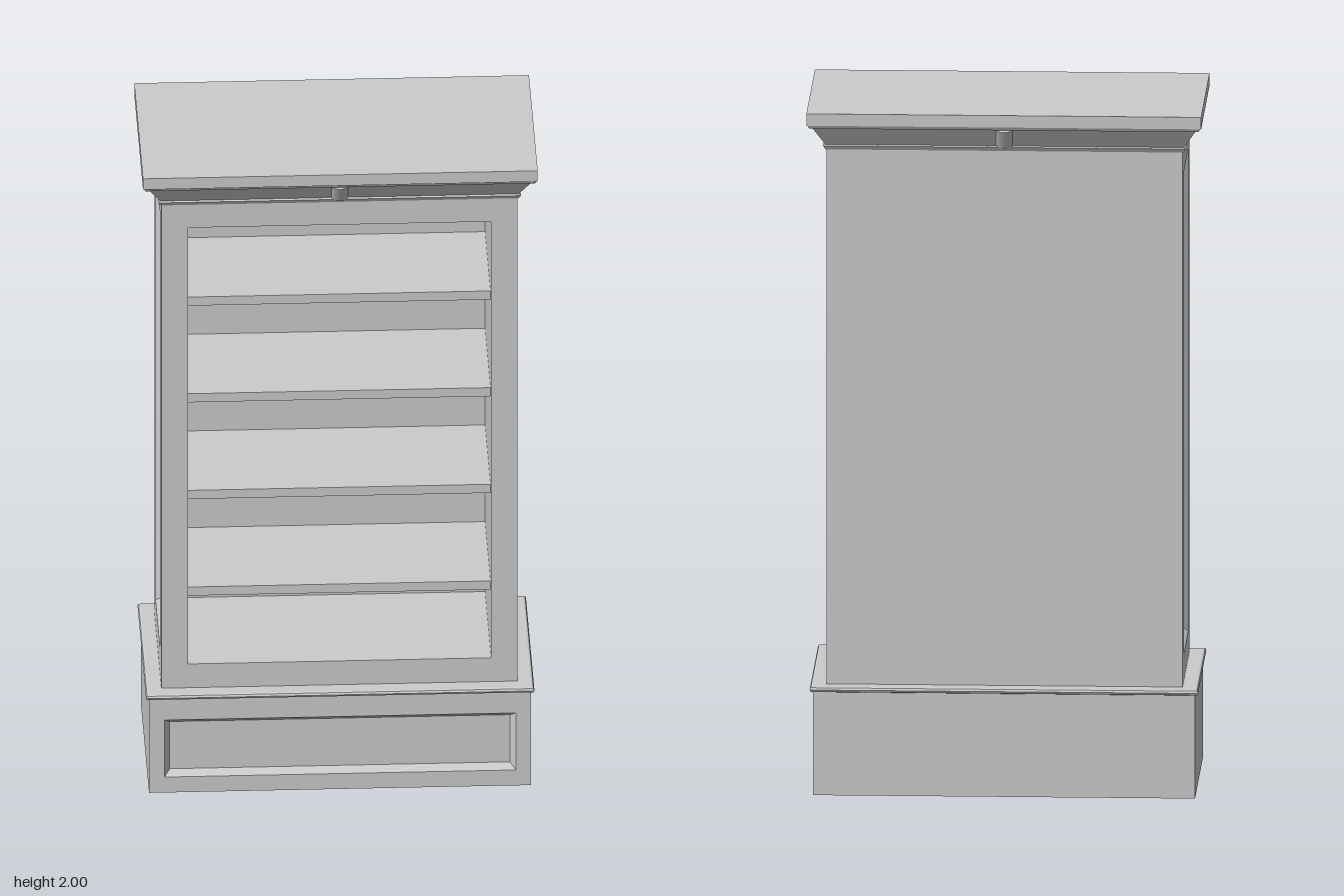
import * as THREE from 'three';

const material = new THREE.MeshStandardMaterial({ color: 0xcccccc, side: THREE.DoubleSide });

function add(parent, name, geometry, x = 0, y = 0, z = 0) {
  const mesh = new THREE.Mesh(geometry, material);
  mesh.name = name;
  mesh.position.set(x, y, z);
  parent.add(mesh);
  return mesh;
}

// Faceted skin through four-cornered rings, optionally closed at the last ring
function loft(rings, cap = false) {
  const pos = [];
  const quad = (a, b, c, d) => pos.push(...a, ...b, ...c, ...a, ...c, ...d);
  for (let k = 0; k + 1 < rings.length; k++) {
    for (let i = 0; i < 4; i++) {
      const j = (i + 1) % 4;
      quad(rings[k][i], rings[k][j], rings[k + 1][j], rings[k + 1][i]);
    }
  }
  if (cap) quad(...rings[rings.length - 1]);
  const g = new THREE.BufferGeometry();
  g.setAttribute('position', new THREE.Float32BufferAttribute(pos, 3));
  g.computeVertexNormals();
  return g;
}

// Mitred moulding from a profile of [half width, half depth, height]
const moulding = (profile) => loft(profile.map(([x, z, y]) =>
  [[-x, y, z], [x, y, z], [x, y, -z], [-x, y, -z]]));

// Upright face looking along +z with a rectangular recess
function recessedFace(name, halfW, y0, y1, holeW, h0, h1, inset, depth) {
  const group = new THREE.Group();
  group.name = name;
  const corners = (w, a, b) => [[-w, a], [w, a], [w, b], [-w, b]];
  const points = (list) => list.map(([x, y]) => new THREE.Vector2(x, y));
  const frame = new THREE.Shape(points(corners(halfW, y0, y1)));
  frame.holes.push(new THREE.Path(points(corners(holeW, h0, h1))));
  add(group, name + 'Frame', new THREE.ShapeGeometry(frame));
  const ring = (inward, z) =>
    corners(holeW - inward, h0 + inward, h1 - inward).map(([x, y]) => [x, y, z]);
  add(group, name + 'Recess', loft([ring(0, 0), ring(inset, -depth)], true));
  return group;
}

export function createModel() {
  const model = new THREE.Group();
  model.name = 'bookcase';

  // Hollow plinth, open below, with a recessed front panel
  const BX = 0.547, BZ = 0.275, BH = 0.302;
  const plinth = new THREE.Group();
  plinth.name = 'plinth';
  model.add(plinth);
  const plinthFront = recessedFace('plinthFront', BX, 0, BH, 0.503, 0.05, 0.235, 0.016, 0.02);
  plinthFront.position.z = BZ;
  plinth.add(plinthFront);
  add(plinth, 'plinthBack', new THREE.PlaneGeometry(2 * BX, BH), 0, BH / 2, -BZ).rotation.y = Math.PI;
  for (const s of [-1, 1]) {
    add(plinth, 'plinthSide', new THREE.PlaneGeometry(2 * BZ, BH), s * BX, BH / 2, 0)
      .rotation.y = s * Math.PI / 2;
  }
  add(plinth, 'plinthLip', moulding([
    [BX, BZ, 0.302], [0.553, 0.281, 0.304], [0.556, 0.284, 0.31],
    [0.553, 0.281, 0.316], [0.548, 0.276, 0.318], [0.51, 0.237, 0.318],
  ]));

  // Cabinet shell: open front, panelled sides, plain back
  const CX = 0.51, CZ = 0.237, C0 = 0.316, C1 = 1.965;
  const cabinet = new THREE.Group();
  cabinet.name = 'cabinet';
  model.add(cabinet);
  const front = recessedFace('cabinetFront', CX, C0, C1, 0.434, 0.395, 1.81, 0, 0.402);
  front.position.z = CZ;
  cabinet.add(front);
  for (const s of [-1, 1]) {
    const side = recessedFace('cabinetSide', CZ, C0, C1, 0.156, 0.395, 1.81, 0.016, 0.02);
    side.position.x = s * CX;
    side.rotation.y = s * Math.PI / 2;
    cabinet.add(side);
  }
  add(cabinet, 'cabinetBack', new THREE.PlaneGeometry(2 * CX, C1 - C0), 0, (C0 + C1) / 2, -CZ)
    .rotation.y = Math.PI;

  // Four evenly spaced shelves
  for (let i = 0; i < 4; i++) {
    add(cabinet, 'shelf', new THREE.BoxGeometry(0.868, 0.028, 0.36), 0, 0.608 + i * 0.3135, 0.015);
  }

  // Crown moulding, top board and the centre ribs on front and back
  add(model, 'crownMoulding', moulding([
    [0.506, 0.233, 1.885], [0.512, 0.239, 1.885], [0.519, 0.246, 1.897],
    [0.513, 0.24, 1.9], [0.549, 0.274, 1.955], [0.557, 0.282, 1.955], [0.563, 0.288, 1.966],
  ]));
  add(model, 'topBoard', new THREE.BoxGeometry(1.13, 0.035, 0.58), 0, 1.9825, 0);
  for (const s of [-1, 1]) {
    const rib = add(model, 'crownRib', new THREE.CylinderGeometry(0.025, 0.025, 0.066, 16), 0, 1.928, s * 0.252);
    rib.scale.z = 0.6;
    rib.rotation.x = s * 0.55;
  }
  return model;
}
